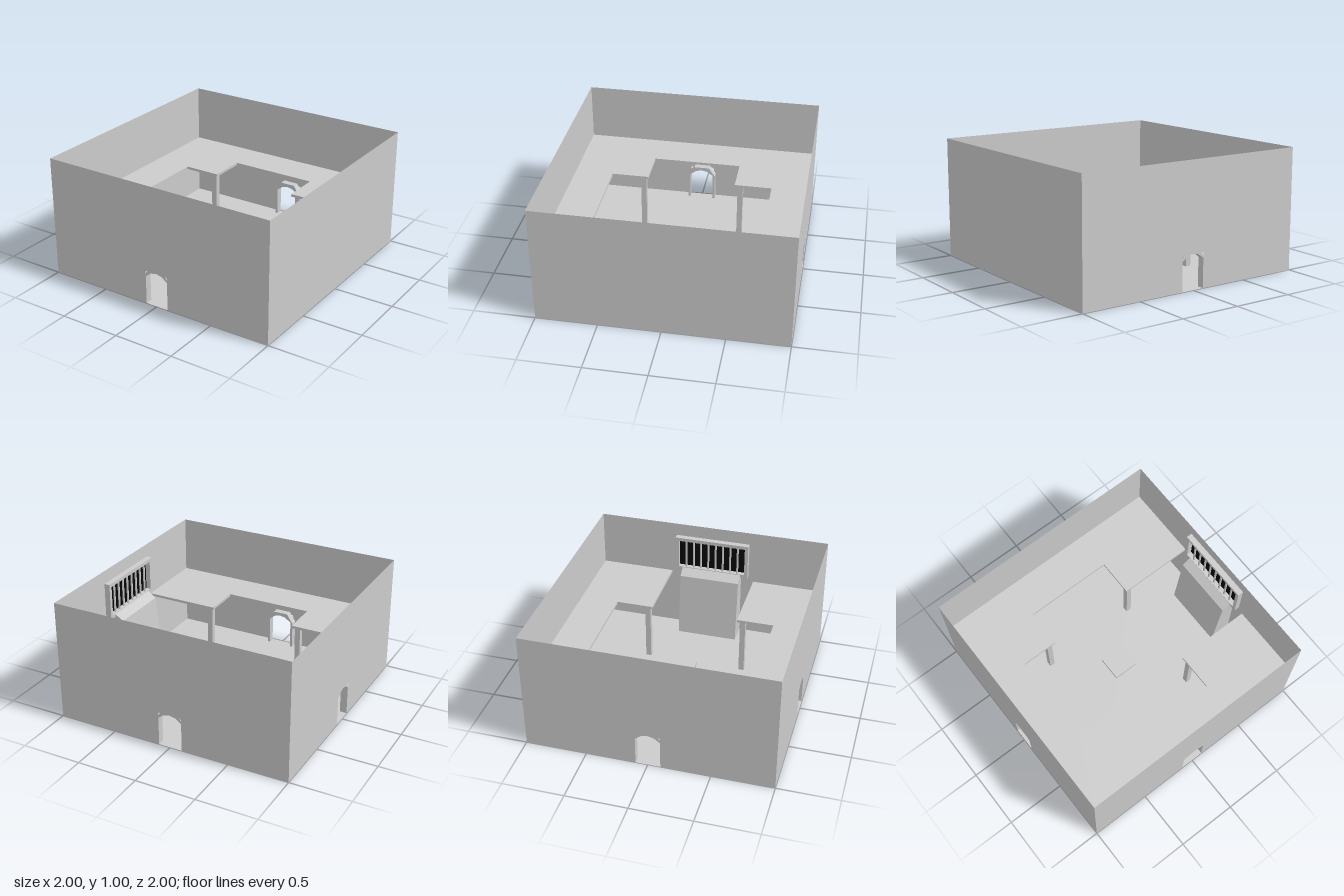
import * as THREE from 'three';

const grey = new THREE.MeshStandardMaterial({ color: 0xcccccc, flatShading: true });
const thin = new THREE.MeshStandardMaterial({ color: 0xcccccc, side: THREE.DoubleSide });
const dark = new THREE.MeshStandardMaterial({ color: 0x080808 });

const shapeOf = (pts) => new THREE.Shape(pts.map(([x, y]) => new THREE.Vector2(x, y)));

function add(parent, name, geometry, material = grey, x = 0, y = 0, z = 0) {
  const mesh = new THREE.Mesh(geometry, material);
  mesh.name = name;
  mesh.position.set(x, y, z);
  parent.add(mesh);
  return mesh;
}

const extrude = (shape, depth) => new THREE.ExtrudeGeometry(shape, { depth, bevelEnabled: false });

// Mirrors the right half of an outline to give a full one, left to right
const mirrored = (half) => [
  ...half.map(([x, y]) => [-x, y]),
  ...half.filter(([x]) => x > 0).reverse(),
];

// Wall facing +z with a doorway and an arched frame on its inner side
function doorWall(name) {
  const group = new THREE.Group();
  group.name = name;
  const door = mirrored([[0.102, 0], [0.102, 0.272], [0.09, 0.285]]);
  add(group, 'wall', new THREE.ShapeGeometry(shapeOf([[-1, 0], ...door, [1, 0], [1, 1], [-1, 1]])), thin, 0, 0, 1);

  const outer = mirrored([[0.12, 0], [0.12, 0.23], [0.065, 0.31]]);
  const inner = mirrored([[0.1, 0], [0.1, 0.235], [0.05, 0.272], [0, 0.283]]);
  add(group, 'doorFrame', extrude(shapeOf([...outer, ...inner.reverse()]), 0.058), grey, 0, 0, 0.94);
  return group;
}

// Barred window with a sloping sill block below it, on the +x wall
function barredWindow() {
  const group = new THREE.Group();
  group.name = 'barredWindow';

  const frame = shapeOf([[-0.325, 0.575], [0.325, 0.575], [0.325, 0.89], [-0.325, 0.89]]);
  frame.holes.push(new THREE.Path([[-0.295, 0.605], [-0.295, 0.86], [0.295, 0.86], [0.295, 0.605]]
    .map(([x, y]) => new THREE.Vector2(x, y))));
  add(group, 'windowFrame', extrude(frame, 0.048), grey, 0.95).rotation.y = Math.PI / 2;

  add(group, 'windowBacking', new THREE.PlaneGeometry(0.6, 0.26), dark, 0.992, 0.733).rotation.y = -Math.PI / 2;

  const bars = 8;
  for (let i = 1; i <= bars; i++) {
    const z = -0.295 + (0.59 * i) / (bars + 1);
    add(group, 'windowBar', new THREE.CylinderGeometry(0.009, 0.009, 0.26, 8), grey, 0.97, 0.733, z);
  }

  const sill = shapeOf([[0.82, 0], [0.998, 0], [0.998, 0.6], [0.95, 0.6], [0.88, 0.55]]);
  add(group, 'sillBlock', extrude(sill, 0.52), grey, 0, 0, -0.26);
  return group;
}

export function createModel() {
  const model = new THREE.Group();
  model.name = 'courtyardRoom';

  // Floor and outer walls
  add(model, 'floor', new THREE.PlaneGeometry(2, 2), thin).rotation.x = -Math.PI / 2;
  [['frontWall', 0], ['leftDoorWall', -Math.PI / 2], ['backWall', Math.PI]].forEach(([name, angle]) => {
    const wall = doorWall(name);
    wall.rotation.y = angle;
    model.add(wall);
  });
  add(model, 'windowWall', new THREE.PlaneGeometry(2, 1), thin, 1, 0.5).rotation.y = Math.PI / 2;
  model.add(barredWindow());

  // Thin gallery around a cross-shaped opening that reaches the window wall
  const a = 0.37, b = 0.68, e = 0.999;
  const gallery = shapeOf([
    [e, -e], [e, -a], [a, -a], [a, -b], [-a, -b], [-a, -a], [-b, -a],
    [-b, a], [-a, a], [-a, b], [a, b], [a, a], [e, a], [e, e], [-e, e], [-e, -e],
  ]);
  add(model, 'gallery', extrude(gallery, 0.022), grey, 0, 0.5).rotation.x = -Math.PI / 2;

  // Pillars under the four inner corners
  for (const x of [-1, 1]) for (const z of [-1, 1]) {
    add(model, 'pillar', new THREE.BoxGeometry(0.045, 0.5, 0.045), grey, x * 0.415, 0.25, z * 0.415);
  }

  // Square pedestal table, turned in four sides
  const profile = [[0, 0], [0.05, 0], [0.025, 0.06], [0.025, 0.15], [0.033, 0.168], [0.1, 0.207], [0.1, 0.235], [0, 0.235]]
    .map(([r, y]) => new THREE.Vector2(r * Math.SQRT2, y));
  add(model, 'pedestal', new THREE.LatheGeometry(profile, 4, Math.PI / 4));

  return model;
}
